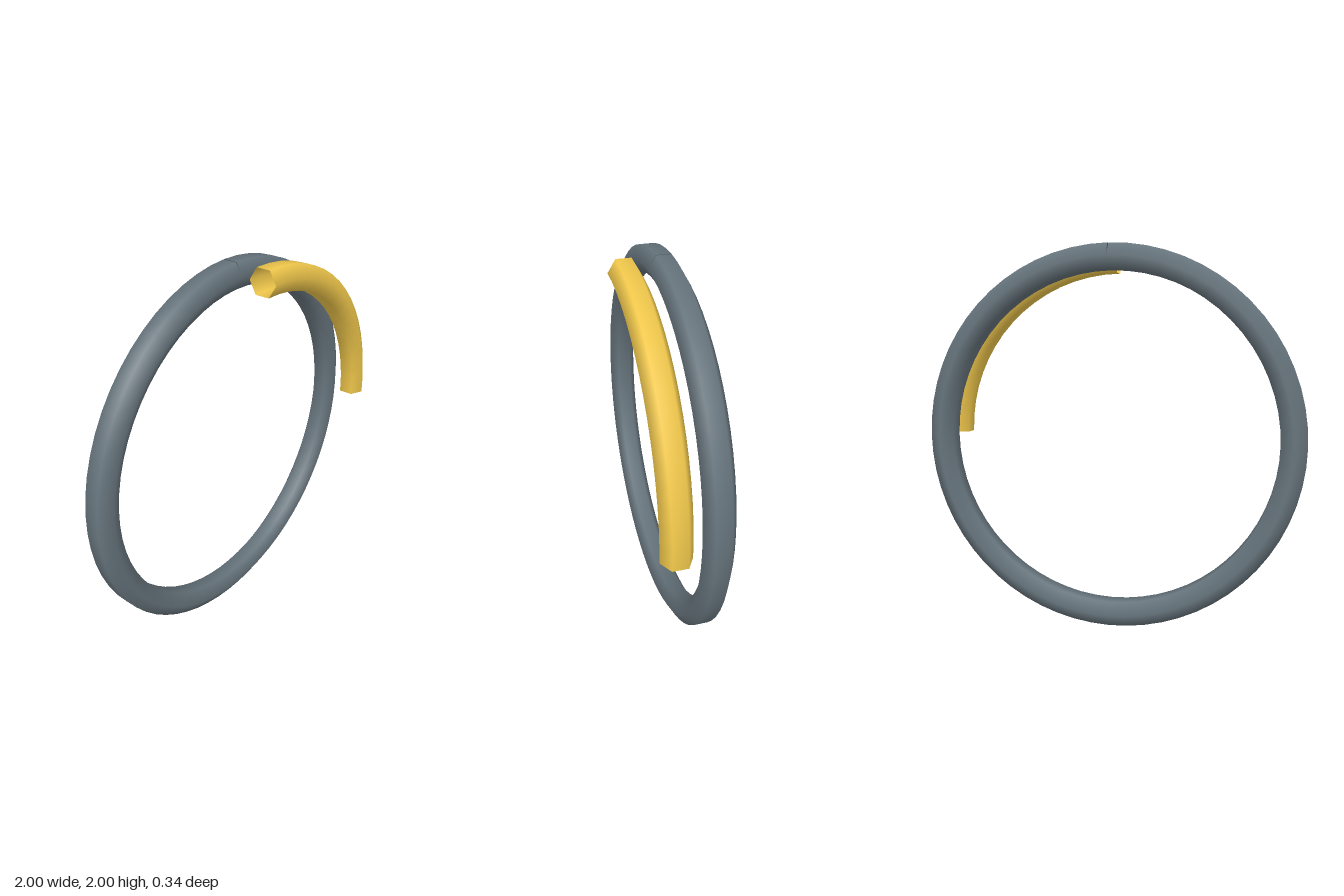
import * as THREE from 'three';

const RADIUS = 0.935; // centre line of the rings
const THICKNESS = 0.075; // hexagonal tube radius

// Open six-sided tube running clockwise from the top of the circle
function arcTube(name, sweep, steps, z, color) {
  const points = [];
  for (let i = 0; i <= steps; i++) {
    const a = (sweep * i) / steps;
    points.push(new THREE.Vector3(RADIUS * Math.sin(a), RADIUS * Math.cos(a), 0));
  }
  const path = new THREE.CatmullRomCurve3(points);
  const mesh = new THREE.Mesh(
    new THREE.TubeGeometry(path, steps, THICKNESS, 6, false),
    new THREE.MeshStandardMaterial({ color, side: THREE.DoubleSide })
  );
  mesh.name = name;
  mesh.position.set(0, 1, z);
  return mesh;
}

export function createModel() {
  const group = new THREE.Group();
  group.name = 'progressRing';
  // Full track behind, quarter indicator in front
  group.add(arcTube('trackRing', Math.PI * 2, 64, -0.095, 0x66747c));
  group.add(arcTube('progressArc', Math.PI / 2, 16, 0.095, 0xf2c94c));
  return group;
}
